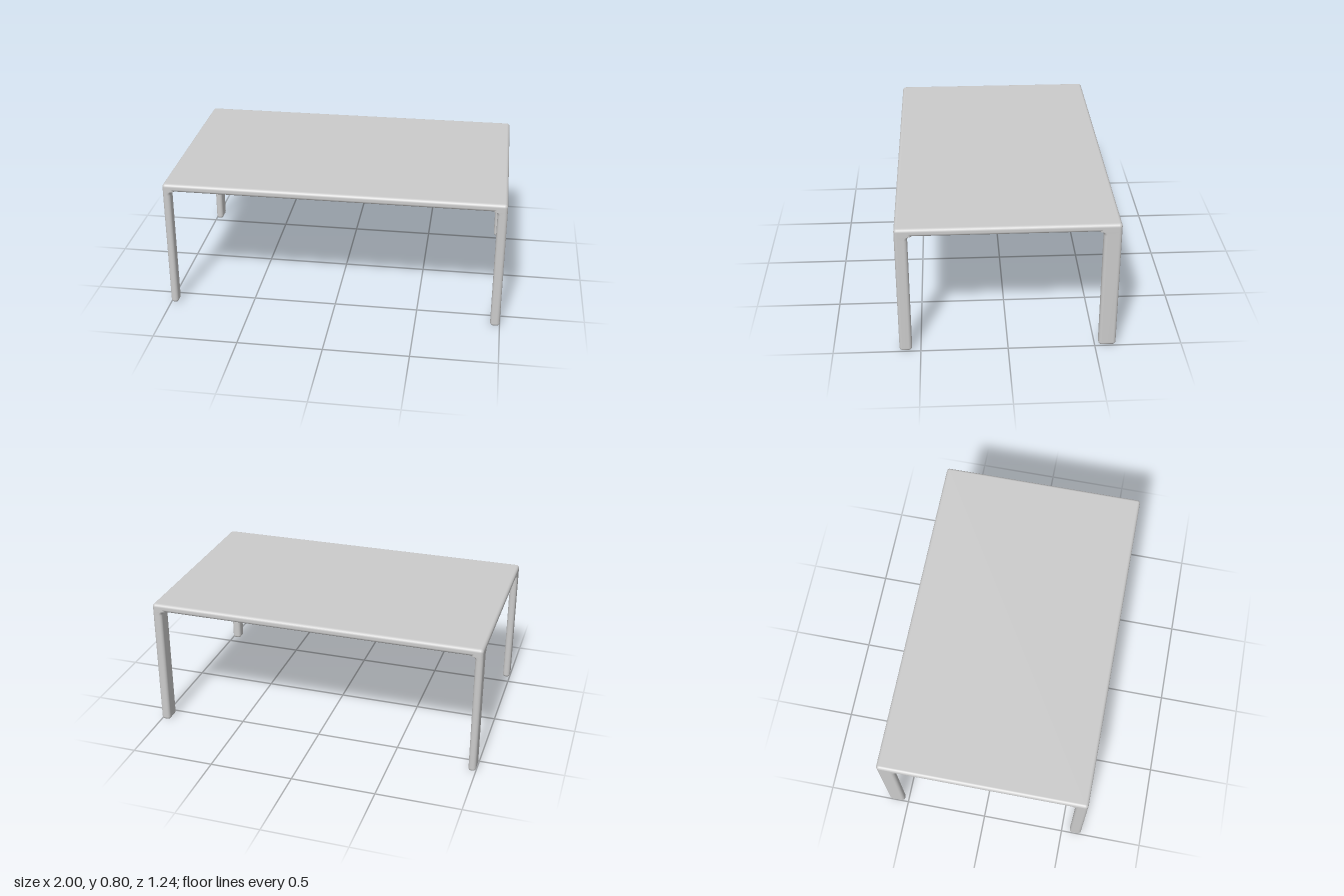
import * as THREE from 'three';
import { RoundedBoxGeometry } from 'three/addons/geometries/RoundedBoxGeometry.js';

const HALF_X = 1, HALF_Z = 0.622, HEIGHT = 0.8, THICK = 0.047, ROUND = 0.019, FILLET = 0.025;
const UNDER = HEIGHT - THICK;

// Rounded rectangle in the xz plane as a ring of [x, z] points.
function roundedRing(x0, x1, z0, z1, r, steps = 5) {
  const points = [];
  const corners = [[x1 - r, z1 - r], [x0 + r, z1 - r], [x0 + r, z0 + r], [x1 - r, z0 + r]];
  corners.forEach(([cx, cz], c) => {
    for (let i = 0; i <= steps; i++) {
      const a = (c + i / steps) * Math.PI / 2;
      points.push([cx + r * Math.cos(a), cz + r * Math.sin(a)]);
    }
  });
  return points;
}

// Leg lofted from the floor up: rounded foot, straight shaft, inner sides flaring into the top.
function legGeometry(sx, sz, wx, wz) {
  const levels = [];
  for (let i = 0; i <= 5; i++) {
    const a = i / 5 * Math.PI / 2;
    levels.push({ y: ROUND * (1 - Math.cos(a)), inset: (ROUND - 0.001) * (1 - Math.sin(a)), flare: 0 });
  }
  for (let i = 0; i <= 6; i++) {
    const a = i / 6 * Math.PI / 2;
    levels.push({ y: UNDER - FILLET + FILLET * Math.sin(a), inset: 0, flare: FILLET * (1 - Math.cos(a)) });
  }
  levels.push({ y: UNDER + THICK / 2, inset: 0, flare: FILLET });

  const span = (s, half, w, { inset, flare }) => {
    const outer = s * (half - inset), inner = s * (half - w - flare + inset);
    return [Math.min(outer, inner), Math.max(outer, inner)];
  };
  const positions = [], index = [];
  let n = 0;
  for (const level of levels) {
    const ring = roundedRing(...span(sx, HALF_X, wx, level), ...span(sz, HALF_Z, wz, level), ROUND - level.inset);
    n = ring.length;
    for (const [x, z] of ring) positions.push(x, level.y, z);
  }
  for (let j = 0; j < levels.length - 1; j++) {
    for (let i = 0; i < n; i++) {
      const a = j * n + i, b = j * n + (i + 1) % n;
      index.push(a, a + n, b, b, a + n, b + n);
    }
  }
  // Sole of the foot
  const centre = positions.length / 3;
  positions.push(sx * (HALF_X - wx / 2), 0, sz * (HALF_Z - wz / 2));
  for (let i = 0; i < n; i++) index.push(centre, i, (i + 1) % n);

  const geometry = new THREE.BufferGeometry();
  geometry.setAttribute('position', new THREE.Float32BufferAttribute(positions, 3));
  geometry.setIndex(index);
  geometry.computeVertexNormals();
  return geometry;
}

export function createModel() {
  const table = new THREE.Group();
  table.name = 'table';
  const material = new THREE.MeshStandardMaterial({ color: 0xcccccc });
  const add = (name, geometry) => {
    const mesh = new THREE.Mesh(geometry, material);
    mesh.name = name;
    table.add(mesh);
    return mesh;
  };

  // Thin rounded top
  add('tableTop', new RoundedBoxGeometry(2 * HALF_X, THICK, 2 * HALF_Z, 5, ROUND))
    .position.y = HEIGHT - THICK / 2;

  // Four corner legs: thicker on the left, deeper at the back
  for (const sx of [1, -1]) {
    for (const sz of [1, -1]) {
      const name = (sz > 0 ? 'front' : 'back') + (sx > 0 ? 'Left' : 'Right') + 'Leg';
      add(name, legGeometry(sx, sz, sx > 0 ? 0.056 : 0.045, sz > 0 ? 0.072 : 0.1));
    }
  }
  return table;
}
